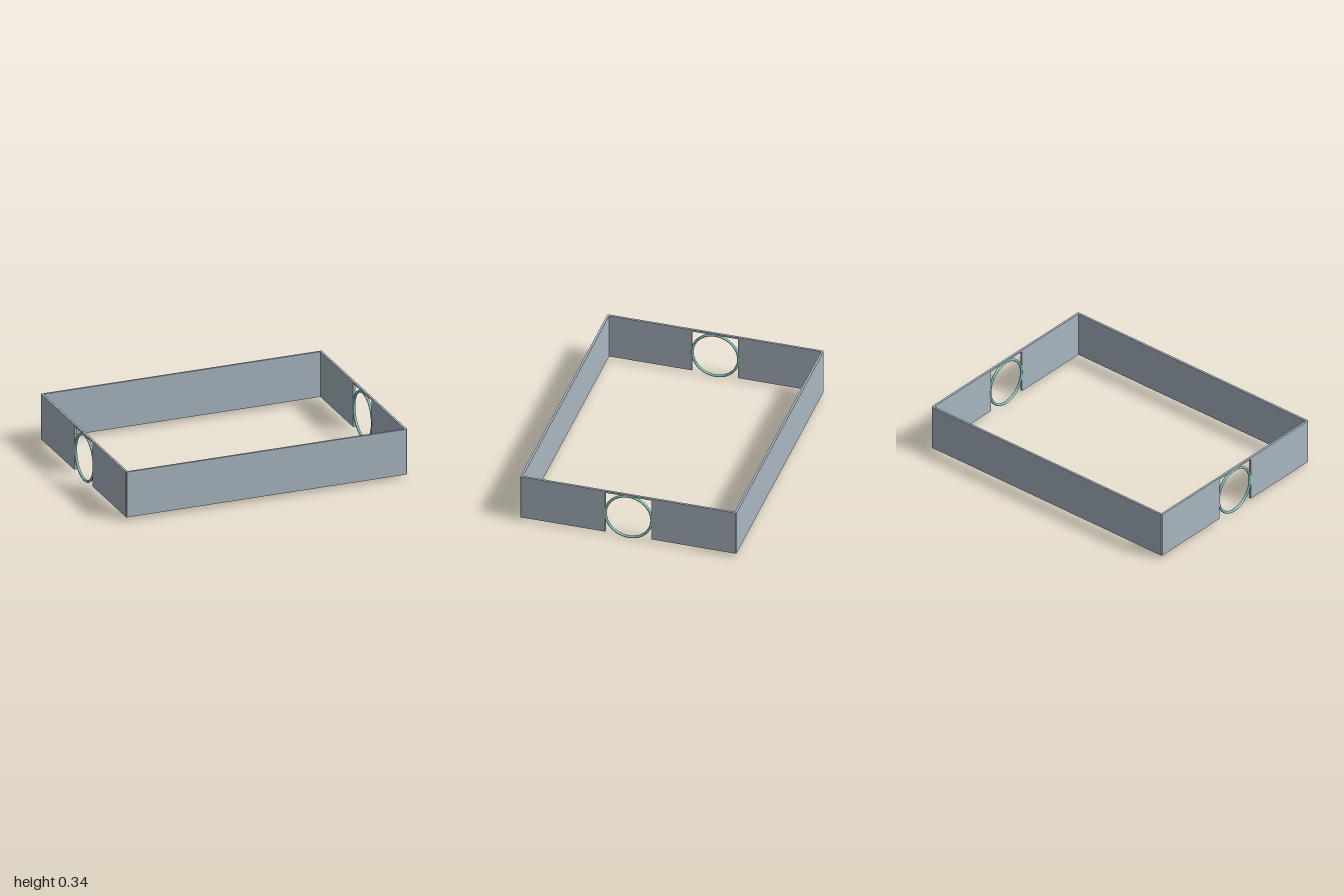
import * as THREE from 'three';

const HALF_X = 1, HALF_Z = 0.745, THICK = 0.015, CHAMFER = 0.006;
const BOTTOM = 0.024, TOP = 0.346;
const NOTCH_HALF = 0.159, NOTCH_TOP = 0.333;

const polygon = (points) => new THREE.Shape(points.map(([x, y]) => new THREE.Vector2(x, y)));

export function createModel() {
  const model = new THREE.Group();
  model.name = 'openFrame';

  const panelMaterial = new THREE.MeshStandardMaterial({ color: 0xa9b7c1 });
  panelMaterial.name = 'blue grey panel';
  const ringMaterial = new THREE.MeshStandardMaterial({ color: 0x7fbfb8 });
  ringMaterial.name = 'teal ring';

  const add = (name, geometry, material) => {
    const mesh = new THREE.Mesh(geometry, material);
    mesh.name = name;
    model.add(mesh);
    return mesh;
  };

  // Long walls: plan outline with small chamfers on the outer corners, extruded upwards
  const inner = HALF_Z - THICK;
  const longPlan = polygon([
    [-HALF_X, -inner], [HALF_X, -inner], [HALF_X, -HALF_Z + CHAMFER], [HALF_X - CHAMFER, -HALF_Z],
    [-HALF_X + CHAMFER, -HALF_Z], [-HALF_X, -HALF_Z + CHAMFER],
  ]);
  const longWall = new THREE.ExtrudeGeometry(longPlan, { depth: TOP - BOTTOM, bevelEnabled: false });
  longWall.rotateX(-Math.PI / 2).translate(0, BOTTOM, 0);
  add('frontWall', longWall, panelMaterial);
  add('backWall', longWall, panelMaterial).rotation.y = Math.PI;

  // Short walls: square notch open at the bottom, with a thin bridge left on top
  const sideProfile = polygon([
    [-inner, BOTTOM], [-NOTCH_HALF, BOTTOM], [-NOTCH_HALF, NOTCH_TOP], [NOTCH_HALF, NOTCH_TOP],
    [NOTCH_HALF, BOTTOM], [inner, BOTTOM], [inner, TOP], [-inner, TOP],
  ]);
  const sideWall = new THREE.ExtrudeGeometry(sideProfile, { depth: THICK, bevelEnabled: false });
  sideWall.rotateY(Math.PI / 2).translate(HALF_X - THICK, 0, 0);

  // Ring standing in each notch
  const ring = new THREE.TorusGeometry(0.159, 0.009, 16, 64);
  ring.rotateY(Math.PI / 2).translate(0.991, 0.169, 0);

  for (const [side, angle] of [['left', 0], ['right', Math.PI]]) {
    add(side + 'Wall', sideWall, panelMaterial).rotation.y = angle;
    add(side + 'Ring', ring, ringMaterial).rotation.y = angle;
  }
  return model;
}
